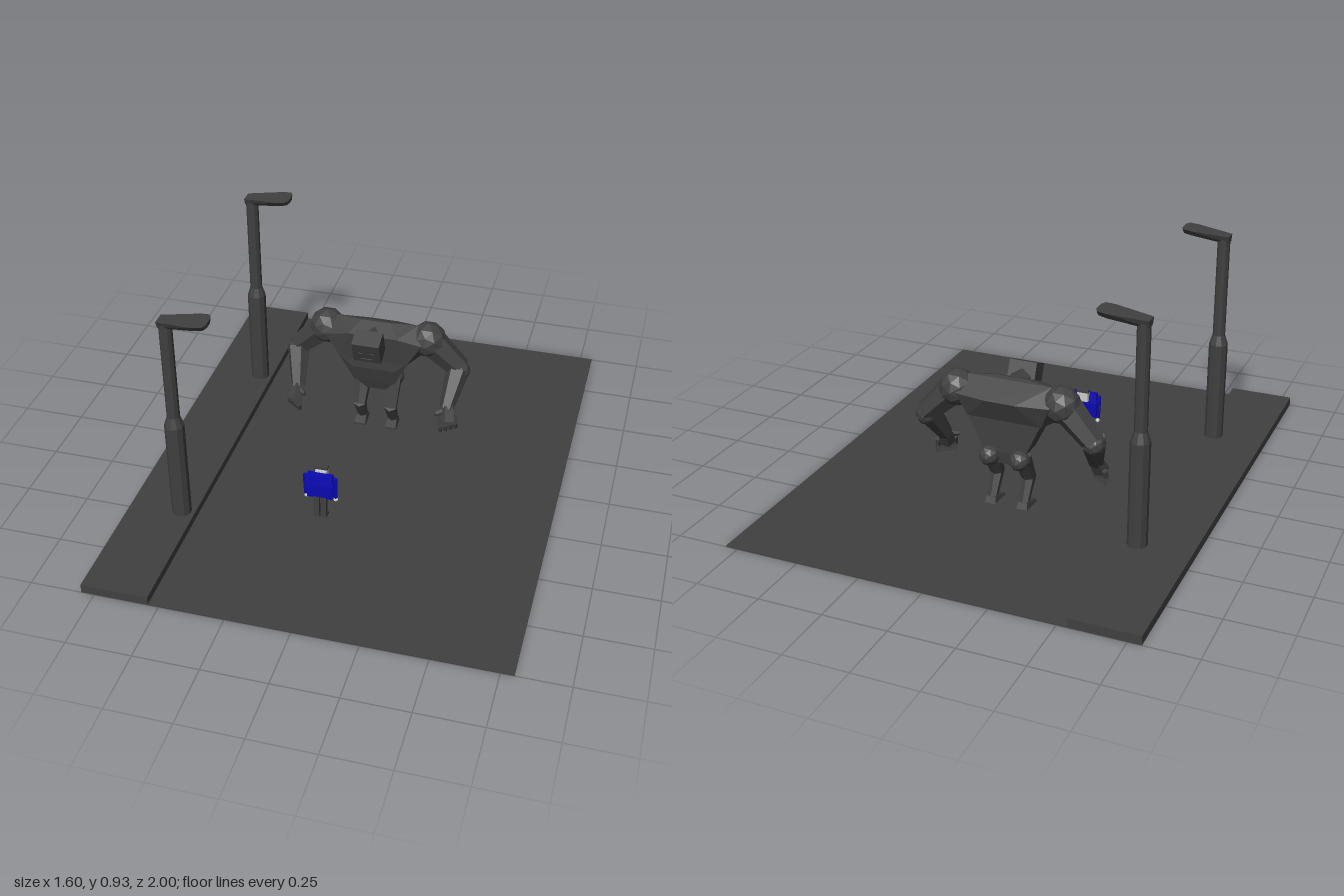
import * as THREE from 'three';
import { ConvexGeometry } from 'three/addons/geometries/ConvexGeometry.js';

const V = (x, y, z) => new THREE.Vector3(x, y, z);

function makeMaterial(name, color) {
  const m = new THREE.MeshStandardMaterial({ color, flatShading: true });
  m.name = name;
  return m;
}

export function createModel() {
  const grey = makeMaterial('dark grey', 0x404040);
  const blue = makeMaterial('blue', 0x0a0ab4);
  const pale = makeMaterial('pale grey', 0xcccccc);

  function add(parent, name, geometry, material = grey) {
    const mesh = new THREE.Mesh(geometry, material);
    mesh.name = name;
    parent.add(mesh);
    return mesh;
  }
  function box(parent, name, w, h, d, x, y, z, material) {
    const mesh = add(parent, name, new THREE.BoxGeometry(w, h, d), material);
    mesh.position.set(x, y, z);
    return mesh;
  }
  // Tapered faceted limb running from point a to point b
  function limb(parent, name, a, b, ra, rb, sides = 6, material = grey) {
    const dir = b.clone().sub(a);
    const mesh = add(parent, name, new THREE.CylinderGeometry(rb, ra, dir.length(), sides), material);
    mesh.position.copy(a).add(b).multiplyScalar(0.5);
    mesh.quaternion.setFromUnitVectors(V(0, 1, 0), dir.normalize());
    return mesh;
  }
  function ball(parent, name, r, x, y, z, material) {
    const mesh = add(parent, name, new THREE.IcosahedronGeometry(r, 1), material);
    mesh.position.set(x, y, z);
    return mesh;
  }
  // Solid between mirrored sections given as [half width, y, z]
  function hull(parent, name, points, material) {
    const all = points.flatMap(([x, y, z]) => [V(x, y, z), V(-x, y, z)]);
    return add(parent, name, new ConvexGeometry(all), material);
  }

  const model = new THREE.Group();
  model.name = 'streetScene';

  // Road and raised pavement
  box(model, 'road', 1.6, 0.004, 2, 0, 0.002, 0);
  box(model, 'pavement', 0.26, 0.033, 2, -0.67, 0.0195, 0);

  // Street lamps: stepped post and a flared head reaching over the road
  const postProfile = [[0, 0.036], [0.038, 0.036], [0.038, 0.45], [0.025, 0.49], [0.025, 0.91], [0, 0.91]]
    .map(([r, y]) => new THREE.Vector2(r, y));
  const headSections = [[-0.025, 0.026, 0.886, 0.912], [0.025, 0.026, 0.886, 0.915],
    [0.12, 0.05, 0.903, 0.926], [0.155, 0.046, 0.909, 0.93], [0.165, 0.025, 0.914, 0.93]];
  for (const z of [-0.455, 0.51]) {
    const lamp = new THREE.Group();
    lamp.name = 'streetLamp';
    lamp.position.set(-0.593, 0, z);
    add(lamp, 'lampPost', new THREE.LatheGeometry(postProfile, 10));
    const pts = headSections.flatMap(([x, w, low, high]) =>
      [V(x, high, w), V(x, high, -w), V(x, low, w * 0.65), V(x, low, -w * 0.65)]);
    add(lamp, 'lampHead', new ConvexGeometry(pts));
    model.add(lamp);
  }

  // Hulking giant, facing the front
  const giant = new THREE.Group();
  giant.name = 'giant';
  giant.position.x = -0.02;
  model.add(giant);
  hull(giant, 'chest', [
    [0.17, 0.515, -0.29], [0.06, 0.52, -0.27], [0.1, 0.49, -0.2], [0.2, 0.46, -0.22],
    [0.06, 0.46, -0.385], [0.19, 0.46, -0.365], [0.15, 0.37, -0.345], [0.14, 0.365, -0.215],
    [0.19, 0.38, -0.29],
  ]);
  hull(giant, 'waist', [
    [0.145, 0.37, -0.22], [0.145, 0.37, -0.345], [0.088, 0.32, -0.22], [0.088, 0.32, -0.345],
    [0.085, 0.24, -0.245], [0.085, 0.24, -0.345],
  ]);
  hull(giant, 'pelvis', [
    [0.085, 0.245, -0.25], [0.085, 0.245, -0.35], [0.04, 0.19, -0.27], [0.04, 0.19, -0.34],
  ]);

  // Square bowed head with brow, eyes and mouth
  limb(giant, 'neck', V(0, 0.46, -0.25), V(0, 0.475, -0.15), 0.05, 0.042, 6);
  const head = new THREE.Group();
  head.name = 'head';
  head.position.set(0, 0.478, -0.145);
  head.rotation.x = 0.38;
  giant.add(head);
  box(head, 'skull', 0.112, 0.108, 0.076, 0, 0, 0);
  for (const s of [-1, 1]) box(head, 'eye', 0.018, 0.007, 0.004, s * 0.024, 0, 0.039);
  box(head, 'mouth', 0.05, 0.006, 0.004, 0, -0.035, 0.039);

  for (const s of [-1, 1]) {
    const P = (x, y, z) => V(s * x, y, z);
    // Arm
    ball(giant, 'shoulder', 0.074, s * 0.212, 0.455, -0.295);
    limb(giant, 'upperArm', P(0.215, 0.46, -0.29), P(0.345, 0.33, -0.305), 0.064, 0.046);
    ball(giant, 'elbow', 0.047, s * 0.342, 0.322, -0.3);
    limb(giant, 'forearm', P(0.338, 0.33, -0.295), P(0.315, 0.195, -0.2), 0.05, 0.03);
    // Hand
    limb(giant, 'palm', P(0.315, 0.205, -0.205), P(0.325, 0.15, -0.172), 0.03, 0.034, 5);
    for (let i = 0; i < 4; i++) {
      const x = 0.297 + i * 0.018;
      const z = -0.15 - i * 0.014;
      limb(giant, 'finger', P(x, 0.165, z - 0.01), P(x + 0.004, 0.132, z), 0.012, 0.011, 5);
      limb(giant, 'fingertip', P(x + 0.004, 0.135, z), P(x + 0.004, 0.105, z - 0.008), 0.011, 0.008, 5);
    }
    limb(giant, 'thumb', P(0.31, 0.19, -0.19), P(0.278, 0.185, -0.16), 0.013, 0.01, 5);
    // Bent leg
    ball(giant, 'buttock', 0.042, s * 0.062, 0.217, -0.342);
    limb(giant, 'thigh', P(0.064, 0.225, -0.325), P(0.066, 0.11, -0.26), 0.036, 0.028);
    limb(giant, 'shin', P(0.066, 0.12, -0.26), P(0.066, 0.02, -0.31), 0.028, 0.02);
    const foot = hull(giant, 'foot', [
      [0.022, 0.003, -0.335], [0.027, 0.003, -0.25], [0.018, 0.03, -0.325],
      [0.018, 0.03, -0.295], [0.025, 0.014, -0.25],
    ]);
    foot.position.x = s * 0.066;
  }

  // Small figure in blue, facing the giant
  const person = new THREE.Group();
  person.name = 'smallFigure';
  person.position.set(-0.077, 0, 0.36);
  model.add(person);
  hull(person, 'coat', [
    [0.05, 0.205, -0.012], [0.05, 0.205, 0.012], [0.056, 0.16, 0.016], [0.056, 0.16, -0.016],
    [0.05, 0.098, 0.012], [0.05, 0.098, -0.012],
  ], blue);
  box(person, 'collar', 0.044, 0.016, 0.012, 0, 0.204, -0.016, pale);
  box(person, 'face', 0.046, 0.04, 0.02, 0, 0.197, -0.028, pale);
  box(person, 'hair', 0.05, 0.01, 0.026, 0, 0.222, -0.027);
  for (const s of [-1, 1]) {
    limb(person, 'sleeve', V(s * 0.06, 0.195, 0), V(s * 0.06, 0.1, -0.004), 0.009, 0.007, 6, blue);
    ball(person, 'hand', 0.009, s * 0.059, 0.088, -0.009, pale);
    box(person, 'trouserLeg', 0.023, 0.095, 0.02, s * 0.014, 0.055, 0.003);
    box(person, 'shoe', 0.025, 0.014, 0.032, s * 0.014, 0.011, -0.003);
  }
  return model;
}
